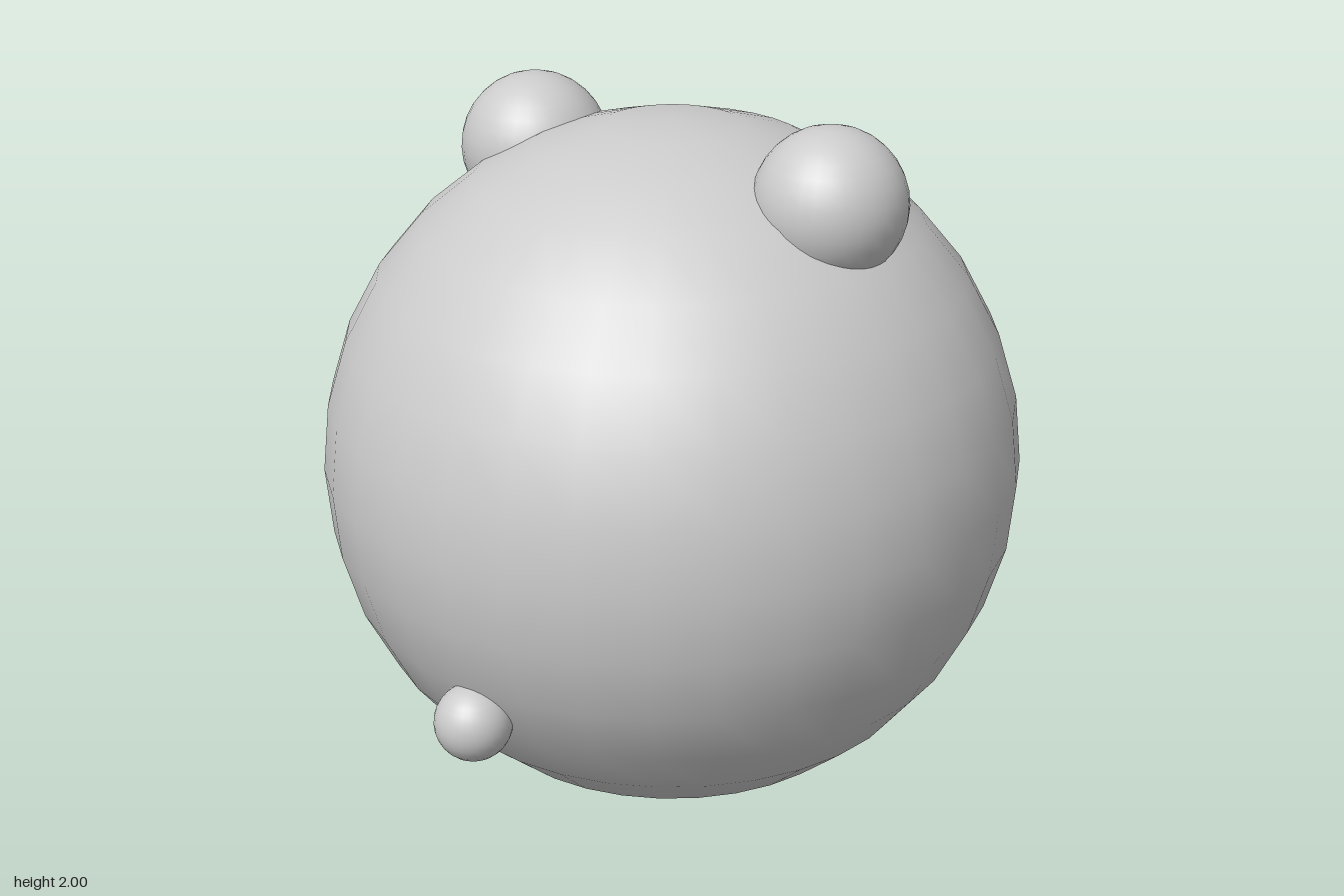
import * as THREE from 'three';

export function createModel() {
  const group = new THREE.Group();
  const material = new THREE.MeshStandardMaterial({ color: 0xcccccc });

  function addBall(name, radius, x, y, z) {
    const ball = new THREE.Mesh(new THREE.SphereGeometry(radius, 32, 16), material);
    ball.name = name;
    ball.position.set(x, y, z);
    group.add(ball);
  }

  // Large round body
  addBall('body', 0.966, 0, 0.968, -0.005);

  // Ears, sunk into the top and placed slightly unevenly
  addBall('leftEar', 0.206, 0.513, 1.794, -0.003);
  addBall('rightEar', 0.206, -0.481, 1.77, -0.01);

  // Small nose low on the front
  addBall('nose', 0.105, 0.01, 0.495, 0.87);

  return group;
}
